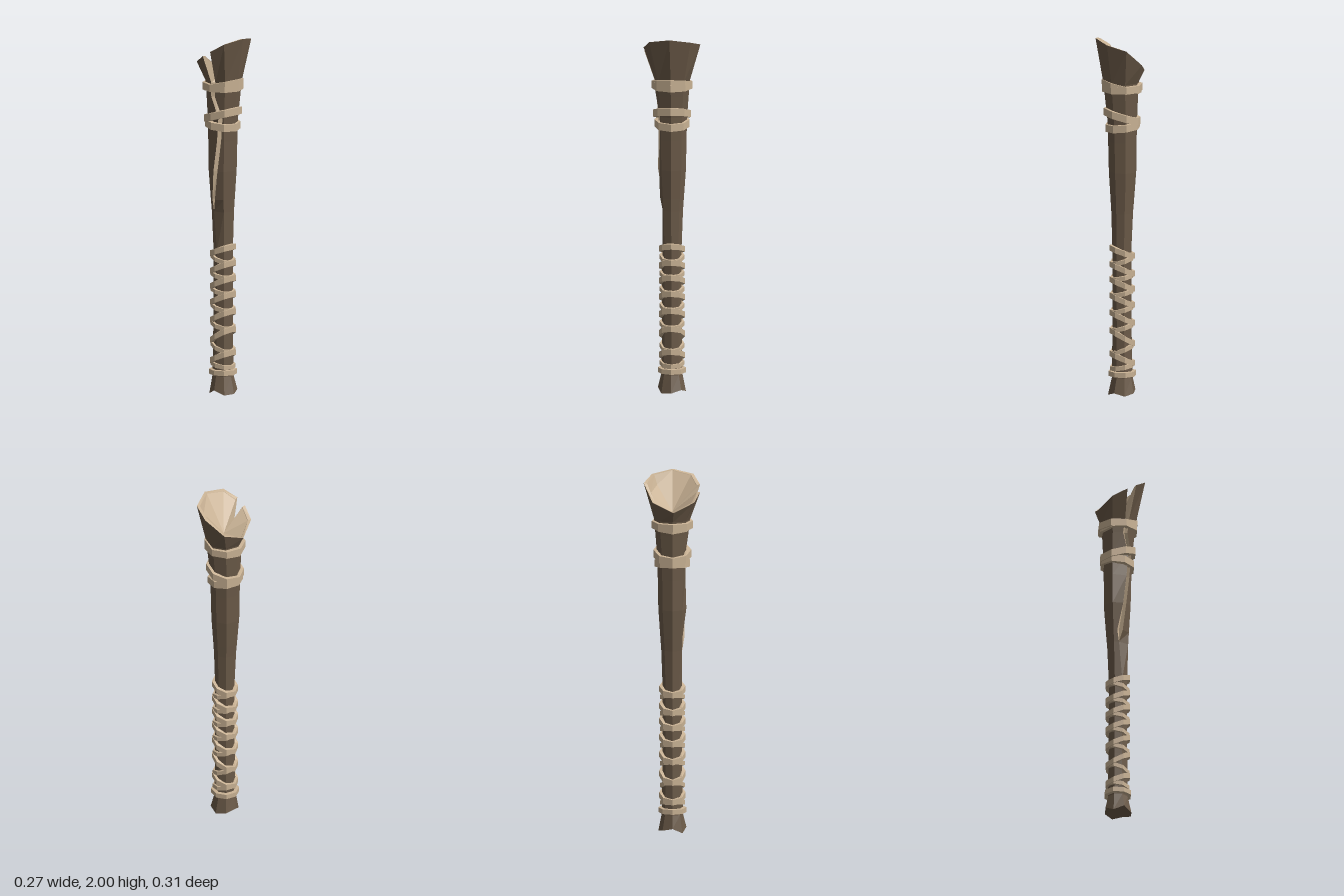
import * as THREE from 'three';

const wood = new THREE.MeshStandardMaterial({ color: 0x6b5a48 });
const paleWood = new THREE.MeshStandardMaterial({ color: 0xc9b294, side: THREE.DoubleSide });

const V = (x, y, z) => new THREE.Vector3(x, y, z);

// Collects triangles and makes a faceted mesh from them
class Facets {
  pos = [];
  tri(a, b, c) {
    const area = b.clone().sub(a).cross(c.clone().sub(a)).length();
    if (area > 1e-7) for (const p of [a, b, c]) this.pos.push(p.x, p.y, p.z);
  }
  quad(a, b, c, d) { this.tri(a, b, c); this.tri(a, c, d); }
  mesh(name, material) {
    const g = new THREE.BufferGeometry();
    g.setAttribute('position', new THREE.Float32BufferAttribute(this.pos, 3));
    g.computeVertexNormals();
    const m = new THREE.Mesh(g, material);
    m.name = name;
    return m;
  }
}

// One eight-sided shaft section; the front corner is split into right, left and groove points
function section(y, cx, r, gx, half, depth) {
  const front = (x) => r - Math.abs(x - cx) * 0.41;
  const ring = [V(gx, y, front(gx) - depth), V(gx + half, y, front(gx + half))];
  for (let k = 1; k < 8; k++) {
    const a = k * Math.PI / 4;
    ring.push(V(cx + r * Math.sin(a), y, r * Math.cos(a)));
  }
  ring.push(V(gx - half, y, front(gx - half)));
  return ring;
}

// Eight-sided binding, tilted so its two sides sit at different heights
function binding(name, yLow, yHigh, cx, r, height, thick) {
  const f = new Facets();
  const at = (k, rad, dy) => {
    const a = k * Math.PI / 4, s = Math.sin(a);
    return V(cx + rad * s, (yLow + yHigh) / 2 + (yHigh - yLow) / 2 * s + dy, rad * Math.cos(a));
  };
  const h = height / 2, profile = [[r - thick, -h], [r, -h * 0.9], [r, h * 0.9], [r - thick, h]];
  for (let k = 0; k < 8; k++) {
    profile.forEach(([r0, y0], i) => {
      const [r1, y1] = profile[(i + 1) % 4];
      f.quad(at(k, r0, y0), at(k + 1, r0, y0), at(k + 1, r1, y1), at(k, r1, y1));
    });
  }
  return f.mesh(name, paleWood);
}

export function createModel() {
  const group = new THREE.Group();
  const bark = new Facets(), crack = new Facets(), hollow = new Facets(), base = new Facets();

  // Shaft sections: height, centre x, radius, crack x, crack half width, crack depth
  const rings = [
    [0.02, -0.009, 0.077, -0.009, 0, 0],
    [0.1, -0.012, 0.058, -0.012, 0, 0],
    [0.35, -0.011, 0.054, -0.011, 0, 0],
    [0.8, -0.01, 0.053, -0.01, 0, 0],
    [1.02, -0.012, 0.061, -0.03, 0, 0],
    [1.09, -0.013, 0.066, -0.027, 0.014, 0.015],
    [1.25, -0.014, 0.077, -0.004, 0.011, 0.02],
    [1.42, -0.013, 0.08, 0.018, 0.011, 0.02],
    [1.55, -0.012, 0.084, 0.028, 0.011, 0.02],
    [1.67, -0.008, 0.093, -0.008, 0.013, 0.02],
    [1.75, -0.006, 0.1, 0, 0.013, 0.02],
  ].map((s) => section(...s));

  // Ragged foot
  const footY = [0.025, 0.025, 0, 0.004, 0.02, 0.004, 0.015, 0.028, 0, 0.025];
  rings[0].forEach((p, i) => { p.y = footY[i]; });

  // Slanted broken rim, with the groove running in to the bottom of the hollow
  const apex = V(-0.003, 1.79, 0);
  const rim = [
    apex, V(0.027, 1.935, 0.153), V(0.098, 1.98, 0.118), V(0.137, 2, 0.004), V(0.098, 1.98, -0.11),
    V(0, 1.95, -0.157), V(-0.098, 1.86, -0.11), V(-0.138, 1.81, 0.004), V(-0.1, 1.86, 0.118), V(-0.026, 1.905, 0.153),
  ];
  rings.push(rim);

  for (let i = 0; i < rings.length - 1; i++) {
    for (let j = 0; j < 10; j++) {
      const k = (j + 1) % 10;
      (j === 0 || j === 9 ? crack : bark).quad(rings[i][j], rings[i][k], rings[i + 1][k], rings[i + 1][j]);
    }
  }

  // Rim edge, steep inner wall and hollow
  const inset = (p, s, drop) => V(p.x * s, p.y - drop, p.z * s);
  const lip = rim.map((p) => inset(p, 0.88, 0.003));
  const wall = rim.map((p, j) => (j >= 4 && j <= 6 ? inset(p, 0.74, 0.055) : inset(p, 0.87, 0.006)));
  for (let j = 1; j < 9; j++) {
    hollow.quad(rim[j], rim[j + 1], lip[j + 1], lip[j]);
    hollow.quad(lip[j], lip[j + 1], wall[j + 1], wall[j]);
    hollow.tri(wall[j], wall[j + 1], apex);
  }
  hollow.tri(lip[1], rim[1], apex);
  hollow.tri(rim[9], lip[9], apex);

  // Dished underside
  const dish = V(-0.009, 0.04, 0);
  for (let j = 0; j < 10; j++) base.tri(rings[0][(j + 1) % 10], rings[0][j], dish);

  group.add(bark.mesh('shaft', wood), base.mesh('shaftFoot', wood),
    crack.mesh('crack', paleWood), hollow.mesh('hollowTop', paleWood));

  // Grip: bindings zigzag between heights on the two sides
  const grip = new THREE.Group();
  grip.name = 'gripWrap';
  const right = [0.825, 0.735, 0.65, 0.56, 0.465, 0.365, 0.235, 0.15];
  const left = [0.775, 0.675, 0.59, 0.5, 0.4, 0.285, 0.175];
  left.forEach((y, i) => {
    grip.add(binding('gripBandRising', y, right[i], -0.012, 0.072, 0.034, 0.022));
    grip.add(binding('gripBandFalling', y, right[i + 1], -0.012, 0.068, 0.026, 0.018));
  });
  grip.add(binding('gripBandEnd', 0.122, 0.122, -0.012, 0.077, 0.03, 0.024));
  group.add(grip);

  // Bindings below the broken head
  const head = new THREE.Group();
  head.name = 'headWrap';
  head.add(
    binding('headBandTop', 1.72, 1.72, -0.012, 0.113, 0.045, 0.024),
    binding('headBandTopTilted', 1.7, 1.755, -0.008, 0.111, 0.03, 0.022),
    binding('headBandMiddle', 1.53, 1.588, -0.012, 0.104, 0.045, 0.026),
    binding('headBandBottom', 1.515, 1.495, -0.014, 0.097, 0.045, 0.022),
  );
  group.add(head);
  return group;
}
